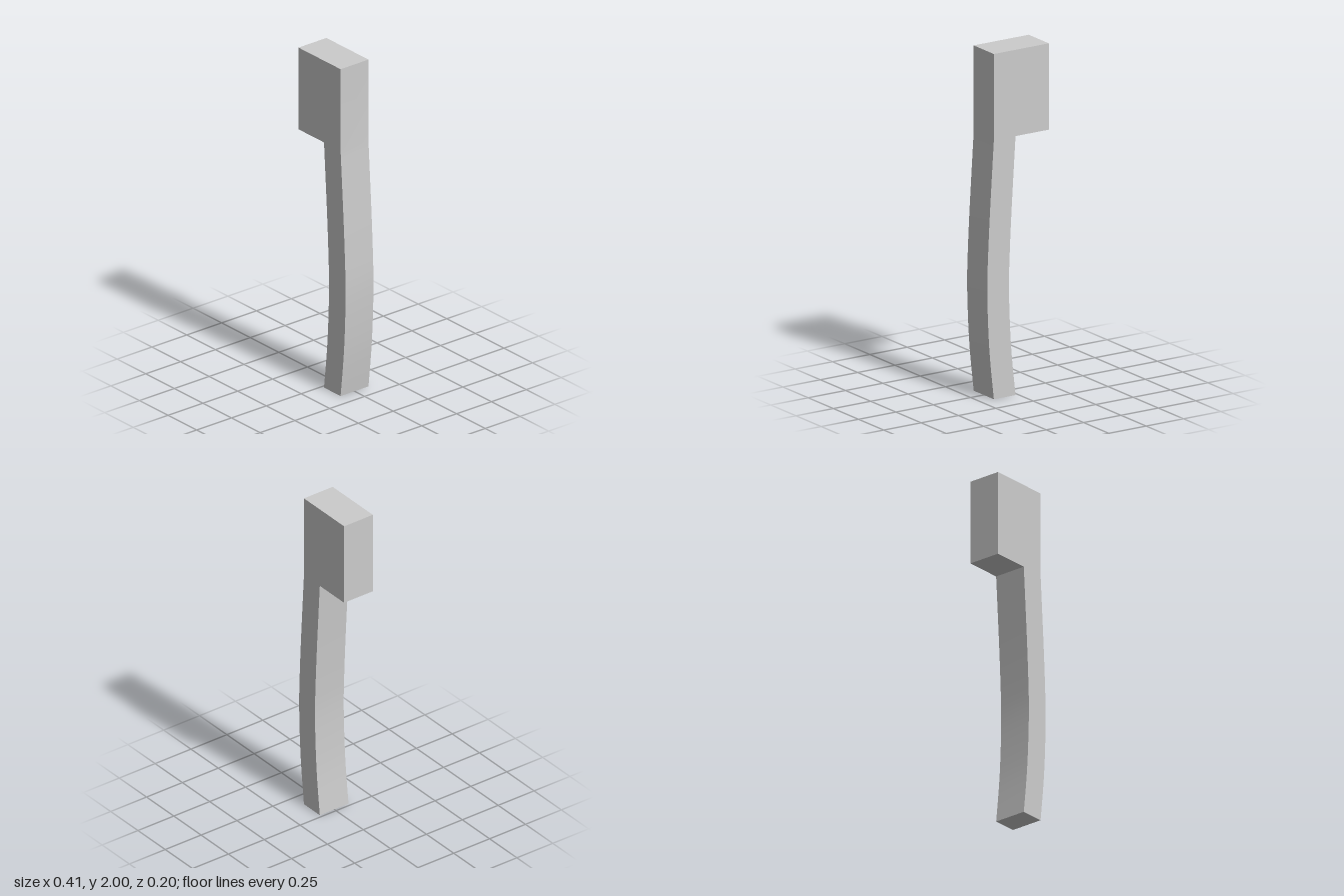
import * as THREE from 'three';
import { toCreasedNormals } from 'three/addons/utils/BufferGeometryUtils.js';

const DEPTH = 0.2;
const INNER = 0.017, OUTER = 0.162; // handle edges where it meets the head
const HEAD_LEFT = -0.206, HEAD_BOTTOM = 1.5, TOP = 2;

// Sideways bow of the handle: [height, offset], bottom to top
const bow = [[0, 0], [0.24, 0.026], [0.45, 0.039], [0.66, 0.044], [0.85, 0.038], [1.05, 0.028], [1.28, 0.014], [HEAD_BOTTOM, 0]];

export function createModel() {
  const group = new THREE.Group();
  group.name = 'hatchet';

  // One closed outline: up the outer edge, around the head, down the inner edge
  const curve = new THREE.SplineCurve(bow.map(([y, dx]) => new THREE.Vector2(dx, y)));
  const samples = curve.getPoints(21);
  const edge = (x) => samples.map((p) => new THREE.Vector2(x + p.x, p.y));
  const outline = new THREE.Shape([
    ...edge(OUTER),
    new THREE.Vector2(OUTER, TOP),
    new THREE.Vector2(HEAD_LEFT, TOP),
    new THREE.Vector2(HEAD_LEFT, HEAD_BOTTOM),
    ...edge(INNER).reverse(),
  ]);

  const geometry = new THREE.ExtrudeGeometry(outline, { depth: DEPTH, bevelEnabled: false });
  geometry.translate(0, 0, -DEPTH / 2);

  // Smooth along the bow, sharp at the corners
  const body = new THREE.Mesh(
    toCreasedNormals(geometry, 0.5),
    new THREE.MeshStandardMaterial({ color: 0xcccccc })
  );
  body.name = 'headAndHandle';
  group.add(body);
  return group;
}
